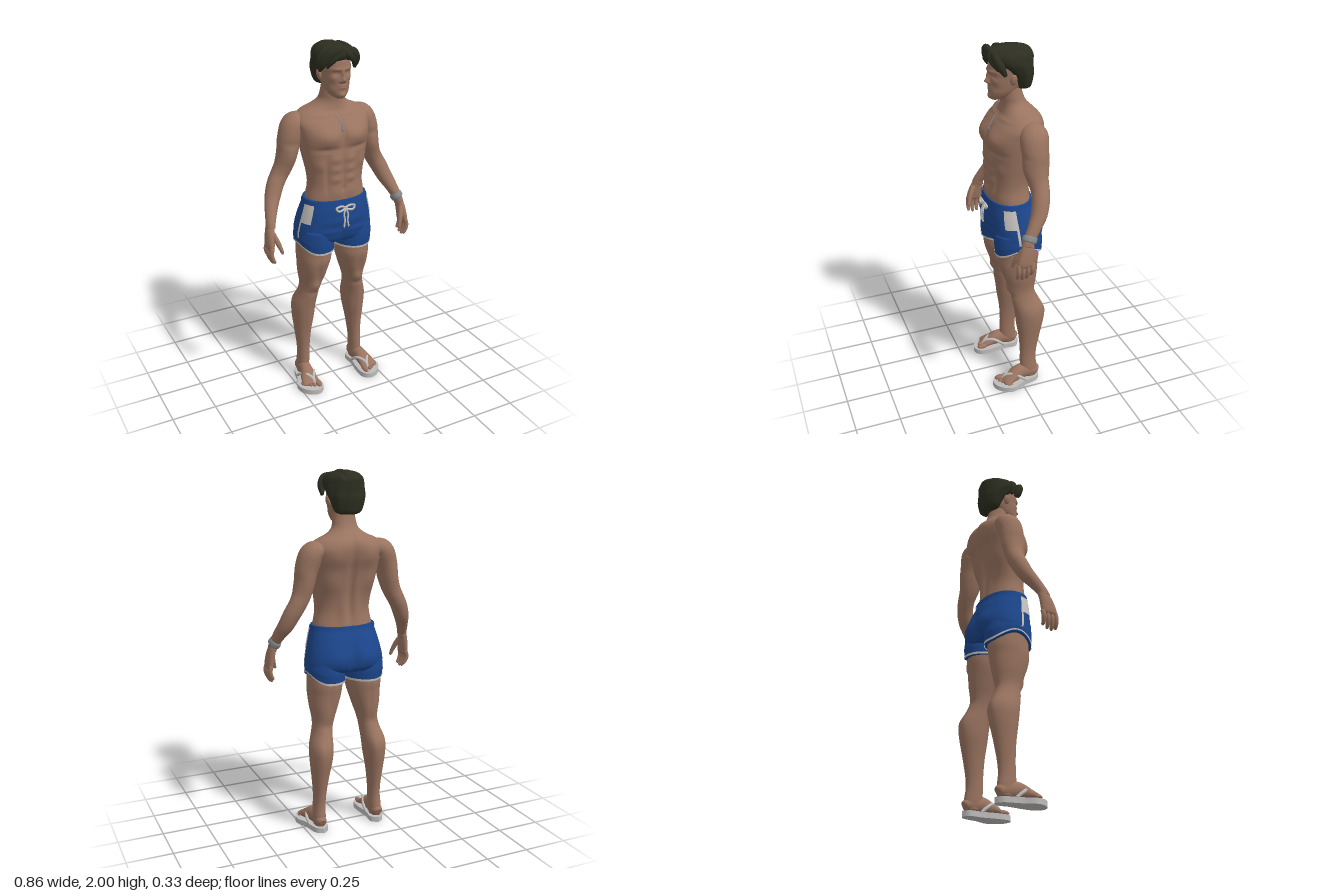
import * as THREE from 'three';

const UP = new THREE.Vector3(0, 1, 0), DOWN = new THREE.Vector3(0, -1, 0), FRONT = new THREE.Vector3(0, 0, 1);
const V = (x, y, z) => new THREE.Vector3(x, y, z);
const paint = (name, color, side = THREE.FrontSide) => {
  const m = new THREE.MeshStandardMaterial({ color, side });
  m.name = name;
  return m;
};

// Smooth skin through cross-sections [x, y, z, halfWidth, halfDepth, squareness]
function loft(rows, { n = 24, steps = 5, dir, ref = FRONT, arc, range = [0, 1], grow = 0, cap = true, shape } = {}) {
  const path = new THREE.CatmullRomCurve3(rows.map(r => V(r[0], r[1], r[2])), false, 'catmullrom');
  const size = new THREE.CatmullRomCurve3(rows.map(r => V(r[3], r[4], r[5] ?? 1)), false, 'catmullrom');
  const m = Math.max(2, Math.round((rows.length - 1) * steps * (range[1] - range[0])));
  const cols = arc ? n + 1 : n, pos = [], index = [];
  const bend = (c, p) => Math.sign(c) * Math.abs(c) ** p;
  for (let i = 0; i <= m; i++) {
    const u = range[0] + (range[1] - range[0]) * i / m;
    const c = path.getPoint(u), s = size.getPoint(u), T = dir ?? path.getTangent(u);
    const b = ref.clone().addScaledVector(T, -T.dot(ref)).normalize(), a = T.clone().cross(b);
    for (let j = 0; j < cols; j++) {
      const t = arc ? arc[0] + (arc[1] - arc[0]) * j / n : j / n * Math.PI * 2;
      const v = c.clone().addScaledVector(a, Math.max(0.001, s.x + grow) * bend(Math.cos(t), s.z))
        .addScaledVector(b, Math.max(0.001, s.y + grow) * bend(Math.sin(t), s.z));
      if (shape) shape(v, t);
      pos.push(v.x, v.y, v.z);
    }
  }
  for (let i = 0; i < m; i++) for (let j = 0; j < n; j++) {
    const k = (j + 1) % cols, p = i * cols, q = p + cols;
    index.push(p + j, q + j, p + k, q + j, q + k, p + k);
  }
  if (cap && !arc) for (const [u, row] of [[range[0], 0], [range[1], m]]) {
    const e = path.getPoint(u), id = pos.length / 3;
    pos.push(e.x, e.y, e.z);
    for (let j = 0; j < n; j++) {
      const p = row * n + j, q = row * n + (j + 1) % n;
      index.push(id, ...(row ? [q, p] : [p, q]));
    }
  }
  const g = new THREE.BufferGeometry();
  g.setAttribute('position', new THREE.Float32BufferAttribute(pos, 3));
  g.setIndex(index);
  g.computeVertexNormals();
  return g;
}

// Mirrored muscle swellings and grooves: [x, y, side, spreadX, spreadY, height]
const bumps = list => (v, t) => {
  const s = Math.sin(t), x = Math.abs(v.x), y = v.y;
  let dz = 0;
  for (const [bx, by, side, sx, sy, h] of list) if (side * s > 0)
    dz += side * h * Math.min(1, Math.abs(s) * 2) * Math.exp(-(((x - bx) / sx) ** 2) - ((y - by) / sy) ** 2);
  v.z += dz;
};

function mirror(geo) {
  const g = geo.clone().scale(-1, 1, 1);
  const idx = g.index ? Array.from(g.index.array) : Array.from({ length: g.attributes.position.count }, (_, i) => i);
  for (let i = 0; i < idx.length; i += 3) [idx[i], idx[i + 1]] = [idx[i + 1], idx[i]];
  g.setIndex(idx);
  return g;
}

export function createModel() {
  const model = new THREE.Group();
  const skin = paint('skin', 0x9a7460), hair = paint('hair', 0x2d2e20), blue = paint('shorts blue', 0x1c468c);
  const white = paint('trim white', 0xc6c2be, THREE.DoubleSide), steel = paint('steel grey', 0x85888b);
  const sandal = paint('sandal grey', 0xbdbbba);
  const add = (name, geo, mat) => {
    const mesh = new THREE.Mesh(geo, mat);
    mesh.name = name;
    model.add(mesh);
  };
  const both = (name, geo, mat) => { add(name + 'Left', geo, mat); add(name + 'Right', mirror(geo), mat); };
  const cord = (pts, r, closed = false) =>
    new THREE.TubeGeometry(new THREE.CatmullRomCurve3(pts.map(p => V(...p)), closed), 32, r, 8, closed);

  // Torso and neck
  add('torso', loft([
    [0, 1.10, 0, .165, .11, .9], [0, 1.17, .015, .168, .113, .9], [0, 1.25, .02, .155, .106, .9],
    [0, 1.32, .018, .16, .108, .88], [0, 1.40, .01, .175, .117, .85], [0, 1.48, 0, .19, .125, .82],
    [0, 1.55, -.014, .2, .132, .82], [0, 1.60, -.03, .205, .122, .85], [0, 1.64, -.042, .175, .1, .95],
    [0, 1.67, -.035, .11, .082, 1], [0, 1.70, -.022, .074, .067, 1], [0, 1.74, -.01, .064, .06, 1], [0, 1.80, 0, .058, .055, 1],
  ], { n: 120, steps: 7, dir: UP, shape: bumps([
    [.085, 1.525, 1, .075, .05, .024], [.09, 1.462, 1, .07, .012, -.01], [0, 1.53, 1, .013, .07, -.012],
    [.042, 1.405, 1, .028, .022, .01], [.042, 1.35, 1, .028, .02, .01], [.042, 1.295, 1, .028, .02, .01],
    [.04, 1.225, 1, .04, .035, .006], [0, 1.33, 1, .009, .11, -.008], [0, 1.24, 1, .01, .01, -.01],
    [.088, 1.32, 1, .012, .09, -.008], [.125, 1.37, 1, .025, .03, .007], [.09, 1.632, 1, .07, .009, .007],
    [0, 1.42, -1, .016, .18, -.02], [.1, 1.55, -1, .06, .06, .014], [.115, 1.42, -1, .05, .07, .012],
    [.04, 1.27, -1, .025, .09, .01], [.06, 1.62, -1, .05, .04, .006]]) }), skin);

  // Arms, from shoulder to wrist
  const armRows = [
    [.15, 1.595, -.055, .045, .06], [.203, 1.573, -.055, .062, .075], [.232, 1.50, -.05, .061, .071],
    [.245, 1.43, -.05, .055, .062], [.265, 1.36, -.055, .05, .054], [.29, 1.31, -.058, .047, .049],
    [.318, 1.26, -.05, .046, .047], [.345, 1.20, -.03, .042, .043], [.37, 1.145, .005, .034, .035],
    [.39, 1.09, .04, .026, .031], [.397, 1.06, .05, .024, .034]];
  both('arm', loft(armRows, { n: 40, steps: 6, shape: bumps([
    [.25, 1.41, 1, .04, .05, .009], [.255, 1.43, -1, .04, .06, .009], [.25, 1.485, 1, .05, .014, -.006]]) }), skin);

  // Hands
  both('palm', loft([[.393, 1.085, .042, .022, .028], [.403, 1.04, .054, .023, .038], [.41, .985, .065, .022, .046],
    [.412, .957, .067, .018, .044], [.412, .945, .067, .006, .03]], { n: 24, dir: DOWN }), skin);
  [.078, .094, .098, .088].forEach((len, i) => {
    const z = .029 + .025 * i, at = (x, k, r) => [x, .968 - len * k, z + .004 * k, r, r];
    both('finger' + (i + 1), loft([at(.411, 0, .012), at(.418, .4, .0125), at(.411, .75, .011), at(.4, .96, .008), at(.397, 1, .002)],
      { n: 12, steps: 4 }), skin);
  });
  both('thumb', loft([[.395, 1.04, .075, .013, .016], [.38, .995, .1, .014, .015], [.368, .96, .113, .011, .012],
    [.36, .935, .118, .008, .009], [.358, .928, .119, .002, .002]], { n: 14 }), skin);

  // Legs, from thigh to heel
  both('leg', loft([
    [.112, .98, 0, .095, .115], [.117, .86, -.008, .097, .115], [.119, .80, -.006, .093, .111], [.128, .72, -.016, .077, .093],
    [.135, .64, -.022, .058, .077], [.145, .58, -.032, .056, .075], [.16, .50, -.056, .065, .083], [.164, .42, -.063, .061, .079],
    [.168, .32, -.06, .047, .062], [.17, .22, -.053, .036, .05], [.172, .15, -.05, .034, .048], [.175, .08, -.055, .035, .052],
    [.176, .035, -.058, .03, .045],
  ], { n: 56, steps: 6, dir: DOWN, shape: bumps([
    [.135, .645, 1, .028, .028, .012], [.135, .60, 1, .05, .012, -.005], [.085, .72, 1, .028, .05, .011],
    [.17, .74, 1, .028, .06, .009], [.128, .76, 1, .014, .07, -.005], [.13, .49, -1, .025, .06, .009],
    [.19, .50, -1, .025, .06, .009], [.135, .62, -1, .03, .03, -.008], [.12, .76, -1, .012, .08, -.006],
    [.16, .4, 1, .012, .15, .005]]) }), skin);

  // Feet and toes
  both('foot', loft([[.176, .055, -.108, .015, .018], [.176, .06, -.095, .03, .033], [.177, .07, -.04, .036, .045],
    [.182, .07, .01, .037, .045], [.19, .056, .06, .046, .031], [.195, .045, .1, .05, .018], [.196, .042, .115, .04, .01]],
  { n: 28, ref: UP }), skin);
  for (let i = 0; i < 5; i++) {
    const r = i ? .0115 - .0008 * i : .017, x = i ? .167 + .0185 * i : .157;
    both('toe' + (i + 1), new THREE.SphereGeometry(r, 14, 10).scale(1, .85, 2.1)
      .translate(x, .042, .118 - .004 * i * i / 2 + (i === 1 ? .004 : 0)), skin);
  }

  // Sandals: sole and forked strap
  const outline = [[.172, -.12], [.135, -.09], [.138, -.02], [.128, .06], [.13, .13], [.165, .165], [.215, .155],
    [.255, .11], [.262, .06], [.235, 0], [.212, -.09], [.172, -.12]].map(([x, z]) => new THREE.Vector2(x, -z));
  const sole = new THREE.Shape(new THREE.SplineCurve(outline).getPoints(60));
  both('sandalSole', new THREE.ExtrudeGeometry(sole, { depth: .03, bevelEnabled: false }).rotateX(-Math.PI / 2), sandal);
  both('strapInner', cord([[.178, .035, .118], [.176, .066, .098], [.152, .078, .05], [.139, .055, .01], [.141, .028, -.02]], .009), sandal);
  both('strapOuter', cord([[.178, .035, .118], [.18, .066, .098], [.208, .08, .05], [.225, .058, .01], [.222, .028, -.025]], .009), sandal);

  // Shorts: seat, waistband and side panels
  const seat = [[0, .93, -.008, .2, .125, .85], [0, .96, -.01, .221, .143, .85], [0, 1.02, -.006, .214, .15, .85],
    [0, 1.10, .006, .196, .14, .87], [0, 1.15, .014, .184, .126, .9], [0, 1.178, .015, .179, .12, .9]];
  const seatShape = bumps([[.09, 1.0, -1, .06, .06, .012], [0, .99, -1, .014, .09, -.018], [0, .95, 1, .014, .06, -.014],
    [.05, 1.06, 1, .06, .012, .005], [.1, 1.0, 1, .06, .01, .005], [.06, 1.02, 1, .05, .01, -.004]]);
  const seatOpt = { n: 80, steps: 6, dir: UP, shape: seatShape };
  add('shortsSeat', loft(seat, seatOpt), blue);
  add('waistband', loft(seat, { ...seatOpt, range: [.86, 1], grow: .004, cap: false }), blue);
  both('sidePanel', loft(seat, { ...seatOpt, n: 8, arc: [.2, .6], range: [.47, .82], grow: .005 }), white);
  both('sideTrim', loft(seat, { ...seatOpt, n: 4, arc: [.12, .2], range: [.08, .82], grow: .005 }), white);

  // Shorts legs, with the hem rising at the outer side
  const cuff = [[.116, 1.0, -.005, .098, .13], [.116, .93, -.008, .107, .135], [.115, .90, -.008, .108, .133], [.115, .866, -.008, .107, .129]];
  const cuffOpt = { n: 48, dir: DOWN, shape: v => {
    v.y += .05 * Math.max(0, (v.x - .115) / .107) ** 3 * Math.max(0, (1 - v.y) / .13);
  } };
  both('shortsLeg', loft(cuff, cuffOpt), blue);
  both('hemTrim', loft(cuff, { ...cuffOpt, range: [.88, 1], grow: .004, cap: false }), white);

  // Drawstring bow
  both('bowLoop', cord([[0, 1.135, .148], [.03, 1.15, .153], [.055, 1.14, .15], [.04, 1.122, .153]], .006, true), white);
  both('bowTail', cord([[0, 1.135, .15], [.012, 1.10, .156], [.008, 1.07, .158], [.014, 1.03, .16]], .005), white);

  // Head with modelled face
  add('head', loft([
    [0, 1.722, .075, .018, .02], [0, 1.735, .06, .04, .048], [0, 1.765, .04, .06, .071, .9], [0, 1.80, .022, .07, .089, .9],
    [0, 1.84, .012, .076, .099, .9], [0, 1.88, .008, .08, .106, .92], [0, 1.93, .002, .079, .103], [0, 1.97, 0, .055, .075],
    [0, 1.985, 0, .02, .03],
  ], { n: 120, steps: 10, dir: UP, shape: bumps([
    [.03, 1.876, 1, .028, .008, .006], [.031, 1.856, 1, .016, .01, -.011], [.031, 1.855, 1, .01, .005, .005],
    [0, 1.822, 1, .012, .013, .022], [0, 1.848, 1, .008, .022, .013], [.014, 1.815, 1, .006, .007, .008],
    [0, 1.786, 1, .024, .011, .008], [0, 1.786, 1, .024, .003, -.005], [0, 1.743, 1, .02, .014, .008],
    [.048, 1.828, 1, .016, .015, .005], [.045, 1.79, 1, .014, .02, -.004]]) }), skin);
  both('ear', new THREE.SphereGeometry(1, 16, 12).scale(.012, .03, .019).rotateZ(-.2).translate(.083, 1.838, .008), skin);

  // Hair: cap with soft waves, then swept locks
  add('hairCap', loft([
    [0, 1.772, -.065, .045, .03], [0, 1.79, -.062, .075, .05], [0, 1.85, -.05, .097, .074], [0, 1.89, -.03, .106, .092],
    [0, 1.925, -.005, .109, .118], [0, 1.96, 0, .1, .12], [0, 1.985, 0, .072, .092], [0, 1.997, 0, .03, .04],
  ], { n: 96, steps: 7, dir: UP, shape: (v, t) => {
    const k = 1 + .018 * Math.sin(9 * t + v.y * 25);
    v.x *= k;
    v.z *= k;
    v.y -= .012 * Math.exp(-(((v.x - .035) / .012) ** 2)) * Math.max(0, Math.min(1, (v.y - 1.93) / .05));
  } }), hair);
  [
    [[.03, 1.96, .085, .018, .018], [-.03, 1.972, .108, .028, .02], [-.075, 1.945, .098, .03, .022], [-.1, 1.9, .075, .021, .022], [-.103, 1.866, .055, .006, .008]],
    [[.015, 1.96, .09, .018, .018], [.06, 1.955, .1, .026, .02], [.088, 1.915, .08, .024, .022], [.097, 1.868, .055, .008, .01]],
    [[.01, 1.97, .1, .014, .014], [-.03, 1.95, .114, .02, .014], [-.06, 1.92, .106, .017, .014], [-.078, 1.885, .09, .005, .006]],
    [[.01, 1.975, .095, .014, .014], [.03, 1.95, .113, .018, .014], [.062, 1.92, .103, .015, .013], [.08, 1.89, .085, .005, .006]],
    [[-.01, 1.975, .03, .02, .02], [-.06, 1.965, .05, .028, .022], [-.096, 1.925, .045, .022, .024], [-.104, 1.875, .03, .008, .01]],
  ].forEach((rows, i) => add('hairLock' + (i + 1), loft(rows, { n: 16, steps: 6 }), hair));

  // Bracelet and necklace
  add('bracelet', loft([[.381, 1.108, .03, .028, .032], [.383, 1.104, .032, .034, .039], [.391, 1.085, .042, .034, .039],
    [.393, 1.081, .044, .027, .032]], { n: 32, steps: 3 }), steel);
  add('neckChain', cord([[-.02, 1.635, .062], [-.008, 1.6, .096], [0, 1.575, .112], [.008, 1.6, .096], [.02, 1.635, .062]], .002), steel);
  add('pendant', new THREE.SphereGeometry(1, 12, 8).scale(.007, .012, .005).translate(0, 1.562, .114), steel);

  return model;
}
